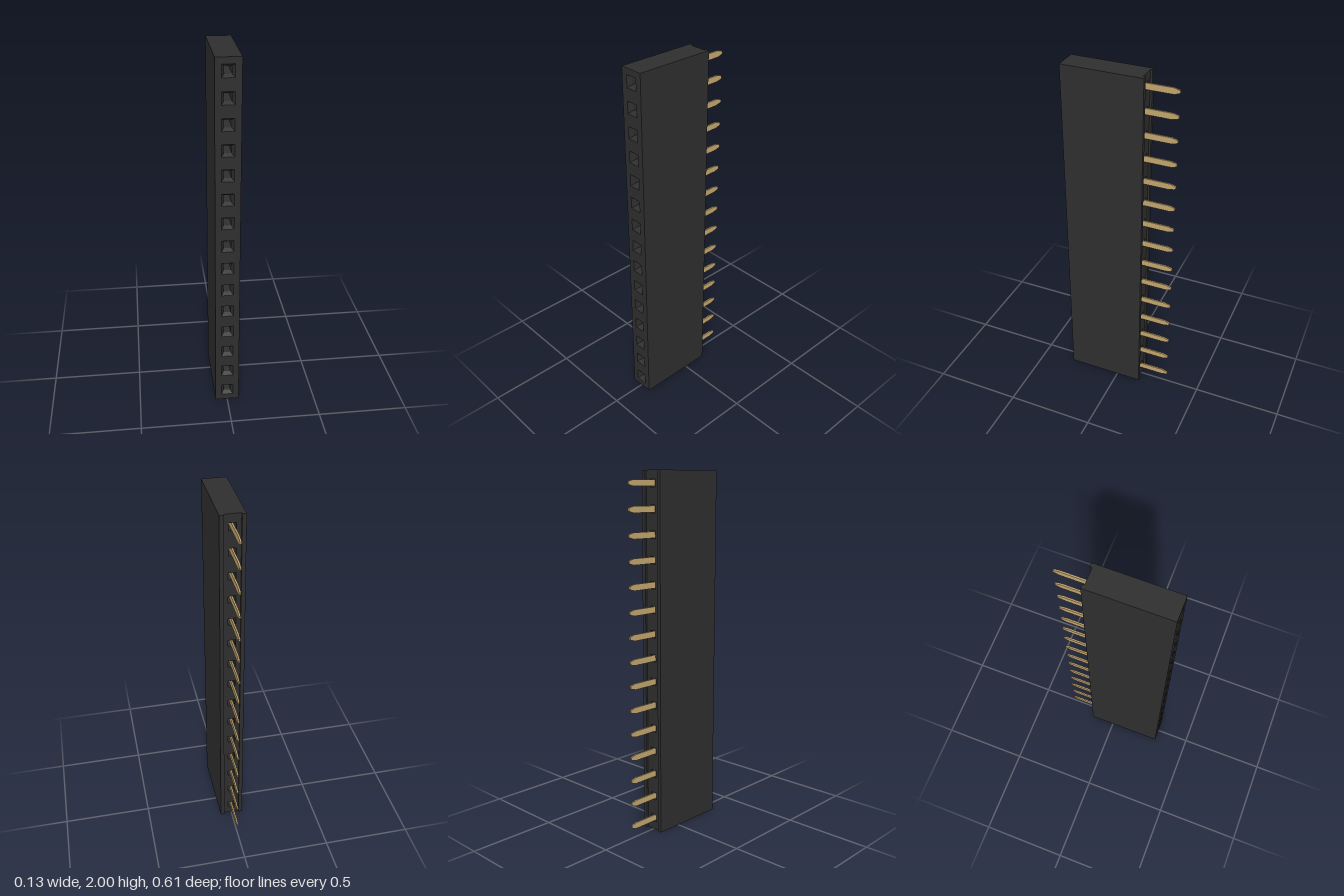
import * as THREE from 'three';

const COUNT = 15, PITCH = 2 / COUNT;
const HALF_W = 0.0665, FRONT = 0.304, BACK = -0.132, RAIL_BACK = -0.143;
const MOUTH = 0.033, SHAFT = 0.02, FUNNEL = 0.022;
const rowY = (i) => (i + 0.5) * PITCH;

// Upright slab with one square hole per contact
function perforatedSlab(half, z0, z1) {
  const shape = new THREE.Shape();
  shape.moveTo(-HALF_W, 0).lineTo(HALF_W, 0).lineTo(HALF_W, 2).lineTo(-HALF_W, 2).closePath();
  for (let i = 0; i < COUNT; i++) {
    const y = rowY(i), hole = new THREE.Path();
    hole.moveTo(-half, y - half).lineTo(-half, y + half).lineTo(half, y + half).lineTo(half, y - half).closePath();
    shape.holes.push(hole);
  }
  return new THREE.ExtrudeGeometry(shape, { depth: z1 - z0, bevelEnabled: false }).translate(0, 0, z0);
}

// Square tapered lead-in, open at both ends
function funnelGeometry() {
  const g = new THREE.CylinderGeometry(MOUTH * Math.SQRT2, SHAFT * Math.SQRT2, FUNNEL, 4, 1, true)
    .rotateY(Math.PI / 4).rotateX(Math.PI / 2).translate(0, 0, FRONT - FUNNEL / 2).toNonIndexed();
  g.computeVertexNormals();
  return g;
}

// Flat blade with a tapered tip, drawn along its length
function pinGeometry() {
  const h = 0.017, t = 0.009;
  const s = new THREE.Shape();
  s.moveTo(-0.15, -h).lineTo(0.27, -h).lineTo(0.295, -0.011).lineTo(0.305, -0.006)
    .lineTo(0.305, 0.006).lineTo(0.295, 0.011).lineTo(0.27, h).lineTo(-0.15, h).closePath();
  return new THREE.ExtrudeGeometry(s, { depth: t, bevelEnabled: false })
    .translate(0, 0, -t / 2).rotateY(Math.PI / 2);
}

export function createModel() {
  const plastic = new THREE.MeshStandardMaterial({ color: 0x2e2e2e, side: THREE.DoubleSide });
  plastic.name = 'blackPlastic';
  const brass = new THREE.MeshStandardMaterial({ color: 0xc4a66e });
  brass.name = 'paleGold';

  const model = new THREE.Group();
  model.name = 'pinSocketStrip';
  const add = (name, geometry, material, x = 0, y = 0, z = 0) => {
    const mesh = new THREE.Mesh(geometry, material);
    mesh.name = name;
    mesh.position.set(x, y, z);
    model.add(mesh);
  };

  // Housing: deep block with narrow shafts, front layer with wider mouths
  add('housing', perforatedSlab(SHAFT, BACK, FRONT - FUNNEL), plastic);
  add('frontFace', perforatedSlab(MOUTH, FRONT - FUNNEL, FRONT), plastic);

  // Standoff rails along both back edges
  const railW = 0.022, railD = BACK - RAIL_BACK;
  for (const side of [1, -1]) {
    add(side > 0 ? 'leftRail' : 'rightRail', new THREE.BoxGeometry(railW, 2, railD), plastic,
      side * (HALF_W - railW / 2), 1, (BACK + RAIL_BACK) / 2);
  }

  // Contacts
  const funnel = funnelGeometry(), pin = pinGeometry();
  for (let i = 0; i < COUNT; i++) {
    add('socketFunnel', funnel, plastic, 0, rowY(i));
    add('pin', pin, brass, 0, rowY(i));
  }
  return model;
}
